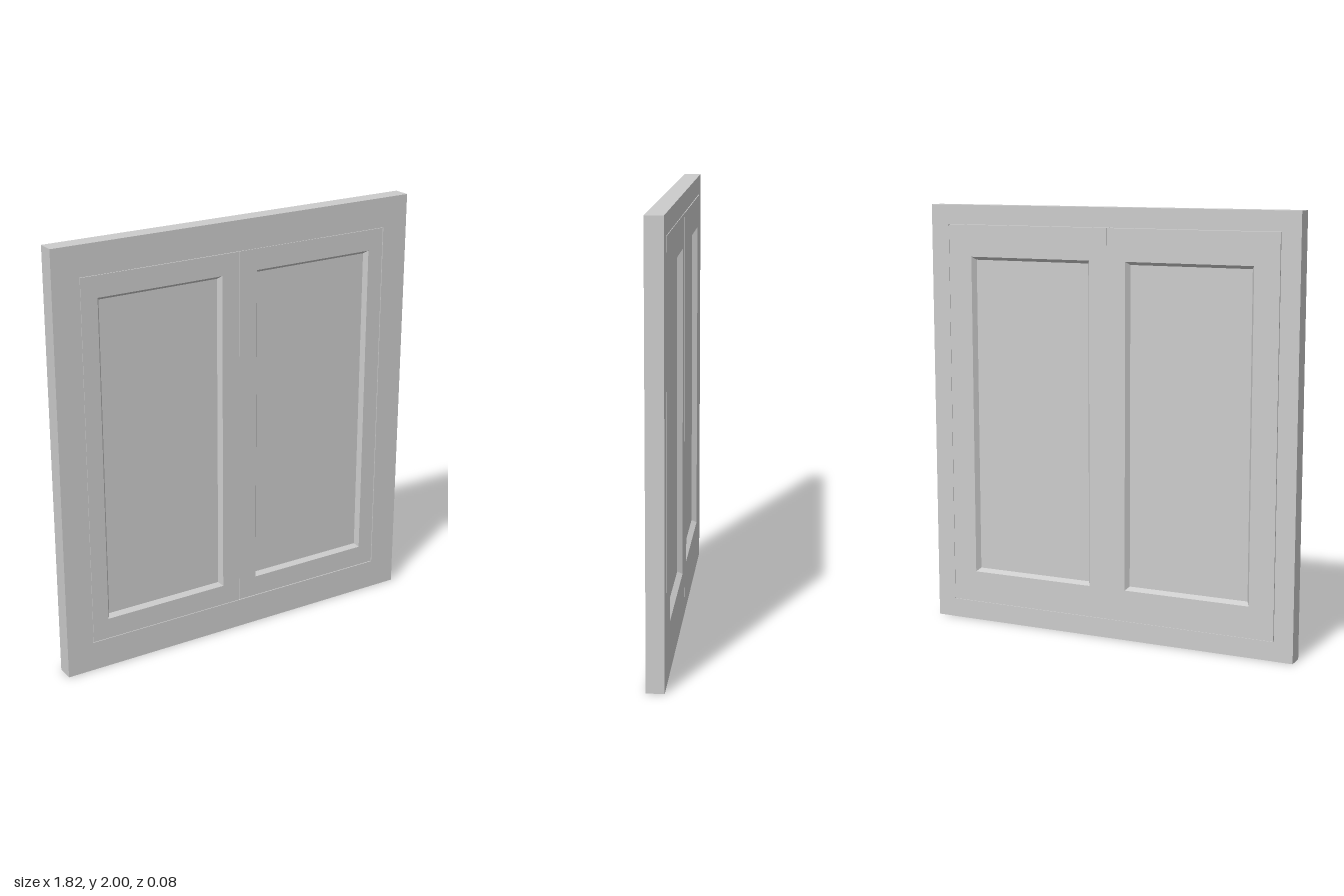
import * as THREE from 'three';

const material = new THREE.MeshStandardMaterial({ color: 0xcccccc, flatShading: true });
const CENTRE_Y = 1;

// Closed rectangle given by its x limits and half height
function trace(path, x0, x1, halfH) {
  path.moveTo(x0, CENTRE_Y - halfH);
  path.lineTo(x1, CENTRE_Y - halfH);
  path.lineTo(x1, CENTRE_Y + halfH);
  path.lineTo(x0, CENTRE_Y + halfH);
  path.closePath();
  return path;
}

// Rectangular slab with a rectangular opening, between two depths
function ring(name, outer, inner, zBack, zFront) {
  const shape = trace(new THREE.Shape(), ...outer);
  shape.holes.push(trace(new THREE.Path(), ...inner));
  const geometry = new THREE.ExtrudeGeometry(shape, { depth: zFront - zBack, bevelEnabled: false });
  geometry.translate(0, 0, zBack);
  const mesh = new THREE.Mesh(geometry, material);
  mesh.name = name;
  return mesh;
}

// Four mitred sloping strips from the sash face down to the panel
function moulding(name, cx, halfW, halfH, run, zFace, zPanel) {
  const signs = [[-1, -1], [1, -1], [1, 1], [-1, 1]];
  const loop = (inset, z) =>
    signs.map(([sx, sy]) => [cx + sx * (halfW - inset), CENTRE_Y + sy * (halfH - inset), z]);
  const a = loop(0, zFace), b = loop(run, zPanel);
  const points = [];
  for (let i = 0; i < 4; i++) {
    const j = (i + 1) % 4;
    const quad = zFace > 0
      ? [a[i], a[j], b[j], a[i], b[j], b[i]]
      : [a[i], b[j], a[j], a[i], b[i], b[j]];
    points.push(...quad.flat());
  }
  const geometry = new THREE.BufferGeometry();
  geometry.setAttribute('position', new THREE.Float32BufferAttribute(points, 3));
  geometry.computeVertexNormals();
  const mesh = new THREE.Mesh(geometry, material);
  mesh.name = name;
  return mesh;
}

// One door leaf: rebated rails and stiles, recessed panel, mouldings both sides
function createSash(side, name) {
  const sash = new THREE.Group();
  sash.name = name;
  const panelX = side * 0.395, halfW = 0.305, halfH = 0.76;
  const zFront = 0.038, zBack = -0.041, panelZ = 0.017;
  const opening = [panelX - halfW, panelX + halfW, halfH];
  const limits = (edge) => [side * 0.001, side * edge].sort((p, q) => p - q);

  sash.add(ring('frontStilesAndRails', [...limits(0.778), 0.858], opening, 0, zFront));
  sash.add(ring('backStilesAndRails', [...limits(0.818), 0.908], opening, zBack, 0));

  const panel = new THREE.Mesh(new THREE.BoxGeometry(halfW * 2, halfH * 2, panelZ * 2), material);
  panel.position.set(panelX, CENTRE_Y, 0);
  panel.name = 'panel';
  sash.add(panel);

  sash.add(moulding('frontMoulding', panelX, halfW, halfH, 0.015, zFront, panelZ));
  sash.add(moulding('backMoulding', panelX, halfW, halfH, 0.015, zBack, -panelZ));
  return sash;
}

export function createModel() {
  const model = new THREE.Group();
  model.name = 'panelledDoubleShutter';

  // Outer frame, with a wider opening at the back for the rebate
  const frame = new THREE.Group();
  frame.name = 'outerFrame';
  const outline = [-0.91, 0.91, 1];
  frame.add(ring('frontFrame', outline, [-0.78, 0.78, 0.86], 0, 0.04));
  frame.add(ring('backFrame', outline, [-0.82, 0.82, 0.91], -0.04, 0));
  model.add(frame);

  // Two leaves, the right one standing very slightly proud at the meeting edge
  const right = createSash(-1, 'rightSash');
  right.scale.z = 1.03;
  model.add(right, createSash(1, 'leftSash'));
  return model;
}
